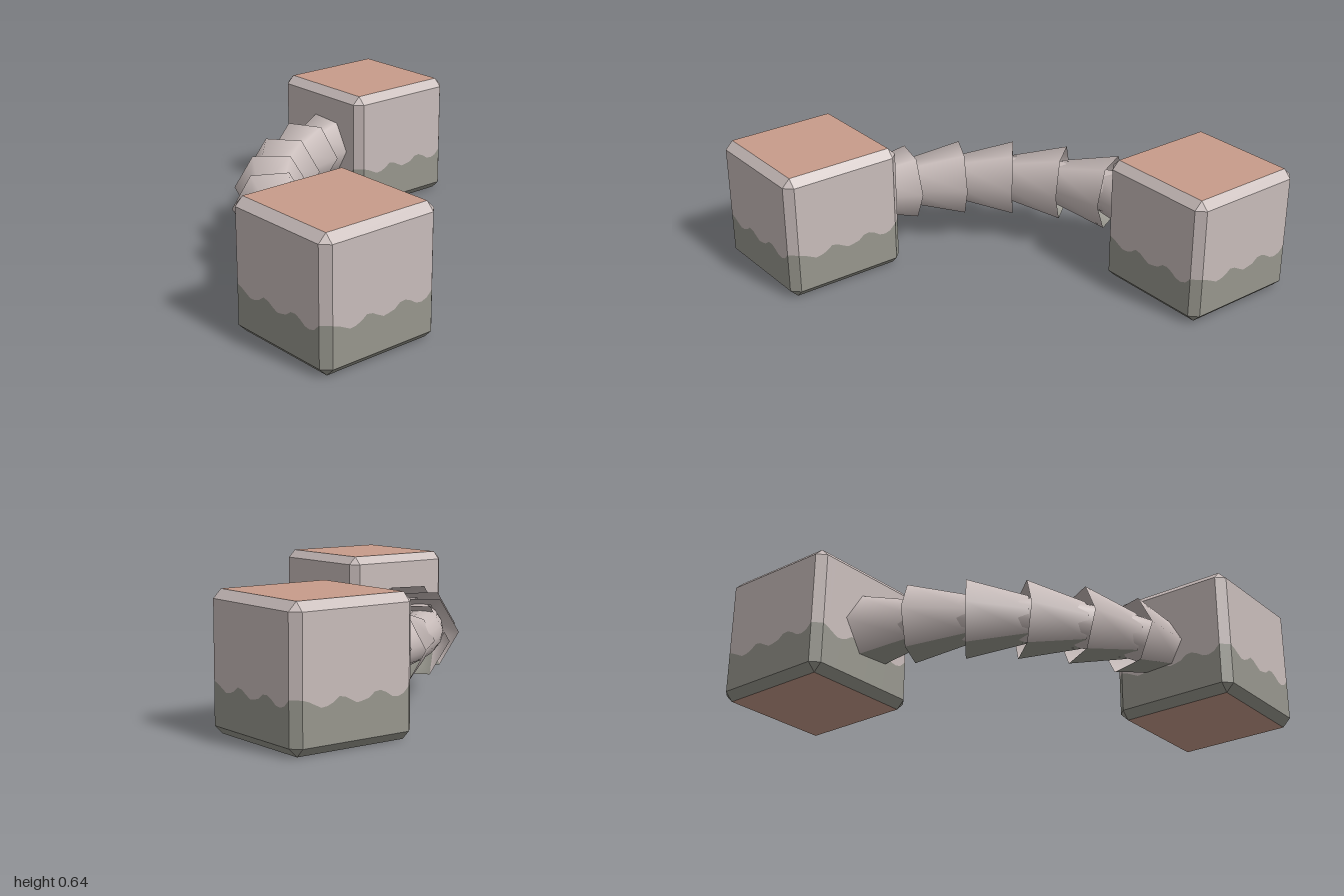
import * as THREE from 'three';

const material = (name, color, side = THREE.FrontSide) => {
  const m = new THREE.MeshStandardMaterial({ color, side });
  m.name = name;
  return m;
};

export function createModel() {
  const model = new THREE.Group();
  model.name = 'linkedBlocks';
  const stone = material('pinkGreyStone', 0xc8bcba);
  const moss = material('mossGrey', 0x97968d);
  const clay = material('terracotta', 0xc89c8a);
  const linkStone = material('linkStone', 0xc8bcba, THREE.DoubleSide);
  const linkMoss = material('linkMoss', 0x97968d, THREE.DoubleSide);
  linkStone.color = stone.color;
  linkMoss.color = moss.color;

  const H = 0.319, I = 0.279; // block half size and half size inside the bevel
  const wave = [0.24, 0.23, 0.215, 0.2, 0.203, 0.215, 0.237, 0.232, 0.215, 0.2,
    0.205, 0.212, 0.235, 0.238, 0.225, 0.205, 0.2, 0.21, 0.24].map((y) => y - H);

  // Fan of flat triangles for one convex face
  const face = (out, ...pts) => {
    for (let i = 1; i < pts.length - 1; i++) out.push(...pts[0], ...pts[i], ...pts[i + 1]);
  };
  const meshOf = (name, pos, mat) => {
    const g = new THREE.BufferGeometry();
    g.setAttribute('position', new THREE.Float32BufferAttribute(pos, 3));
    g.computeVertexNormals();
    const mesh = new THREE.Mesh(g, mat);
    mesh.name = name;
    return mesh;
  };

  // One side of a block: wavy two-tone wall, bevels and corners
  function blockSide() {
    const upper = [], lower = [];
    const n = wave.length - 1;
    for (let k = 0; k < n; k++) {
      const x0 = -I + (2 * I * k) / n, x1 = -I + (2 * I * (k + 1)) / n;
      const y0 = wave[k], y1 = wave[k + 1];
      face(lower, [x0, -I, H], [x1, -I, H], [x1, y1, H], [x0, y0, H]);
      face(upper, [x0, y0, H], [x1, y1, H], [x1, I, H], [x0, I, H]);
    }
    const split = wave[0];
    face(lower, [I, -I, H], [H, -I, I], [H, split, I], [I, split, H]);
    face(upper, [I, split, H], [H, split, I], [H, I, I], [I, I, H]);
    face(upper, [-I, I, H], [I, I, H], [I, H, I], [-I, H, I]);
    face(upper, [I, I, H], [H, I, I], [I, H, I]);
    face(lower, [-I, -H, I], [I, -H, I], [I, -I, H], [-I, -I, H]);
    face(lower, [I, -I, H], [I, -H, I], [H, -I, I]);
    const side = new THREE.Group();
    side.name = 'blockSide';
    side.add(meshOf('upperWall', upper, stone), meshOf('lowerWall', lower, moss));
    return side;
  }

  // Two bevelled end blocks
  for (const s of [-1, 1]) {
    const block = new THREE.Group();
    block.name = s < 0 ? 'backBlock' : 'frontBlock';
    for (let k = 0; k < 4; k++) {
      const side = blockSide();
      side.rotation.y = (k * Math.PI) / 2;
      block.add(side);
    }
    const top = [], bottom = [];
    face(top, [-I, H, I], [I, H, I], [I, H, -I], [-I, H, -I]);
    face(bottom, [-I, -H, -I], [I, -H, -I], [I, -H, I], [-I, -H, I]);
    block.add(meshOf('topPanel', top, clay), meshOf('bottomPanel', bottom, clay));
    block.position.set(s * (1 - H), H, s * (1 - H));
    model.add(block);
  }

  // Curved chain of flared six-sided links, mossy underneath
  const step = 0.267, length = 0.295;
  const linkGeo = new THREE.CylinderGeometry(0.113, 0.188, length, 6, 1, true);
  linkGeo.translate(0, length / 2, 0).rotateZ(-Math.PI / 2);
  linkGeo.clearGroups();
  linkGeo.addGroup(0, 6, 0);
  linkGeo.addGroup(6, 6, 1);
  linkGeo.addGroup(12, 24, 0);
  const p = new THREE.Vector3(0.416, 0.324, 0.64);
  const path = [p.clone()];
  for (let k = 0; k < 6; k++) {
    const a = THREE.MathUtils.degToRad(15.5 + 11.9 * k);
    p.x -= step * Math.cos(a);
    p.z -= step * Math.sin(a);
    path.push(p.clone());
    const link = new THREE.Mesh(linkGeo, [linkStone, linkMoss]);
    link.name = 'chainLink' + (k + 1);
    link.position.copy(p);
    link.rotation.y = -a;
    model.add(link);
  }

  // Round core running through the links
  const core = new THREE.Mesh(
    new THREE.TubeGeometry(new THREE.CatmullRomCurve3(path), 36, 0.108, 16), stone);
  core.name = 'chainCore';
  model.add(core);
  return model;
}
